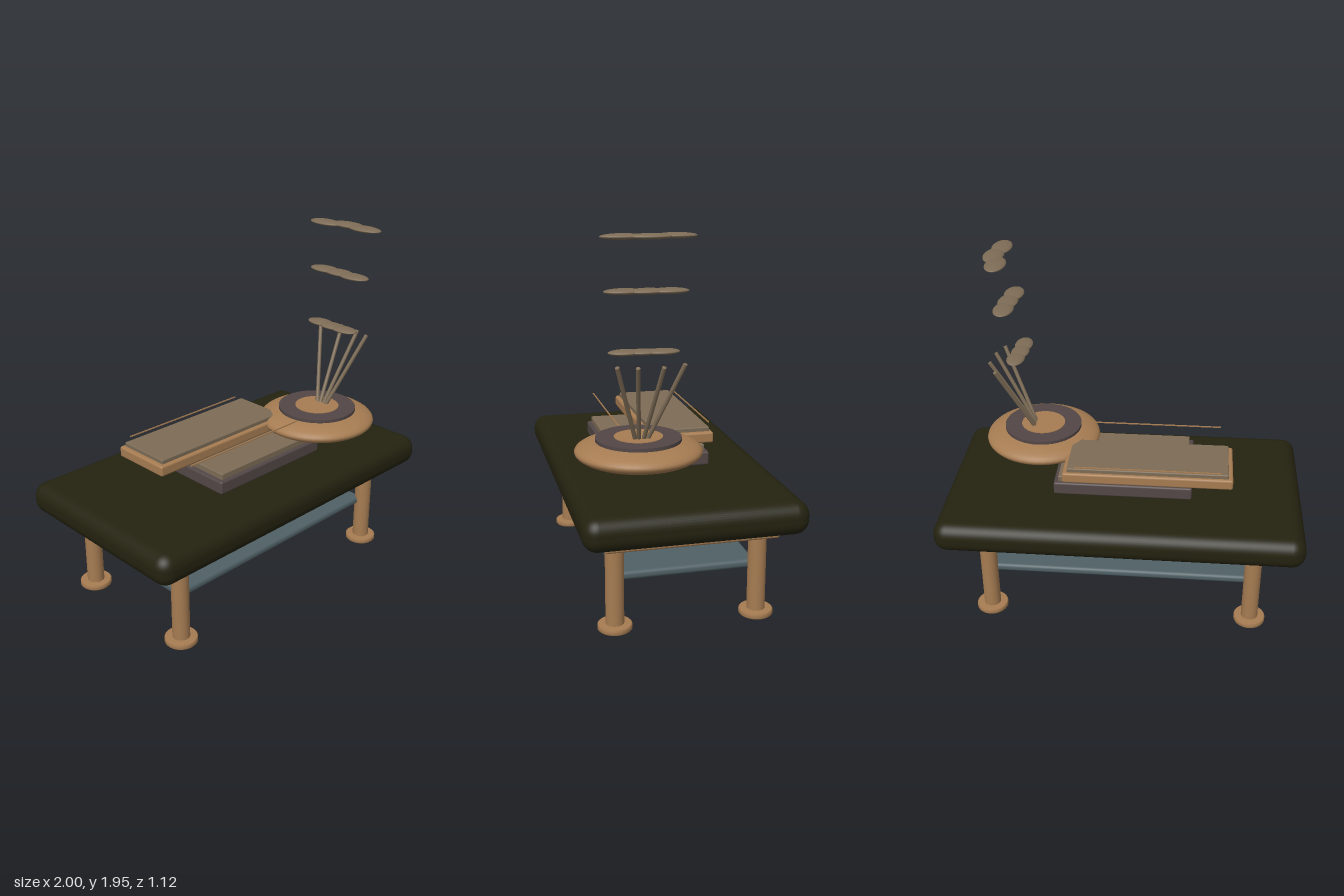
import * as THREE from 'three';
import { RoundedBoxGeometry } from 'three/addons/geometries/RoundedBoxGeometry.js';

const mat = (name, color) => {
  const m = new THREE.MeshStandardMaterial({ color });
  m.name = name;
  return m;
};

export function createModel() {
  const model = new THREE.Group();
  model.name = 'lowTable';
  const wood = mat('wood', 0xa67c52);
  const olive = mat('darkOlive', 0x24220f);
  const slate = mat('slate', 0x4f6065);
  const cover = mat('darkCover', 0x524746);
  const paper = mat('paper', 0x7d6c56);

  const add = (name, geometry, material, x, y, z, parent = model) => {
    const mesh = new THREE.Mesh(geometry, material);
    mesh.name = name;
    mesh.position.set(x, y, z);
    parent.add(mesh);
    return mesh;
  };
  // Rounded box given by its extents on each axis
  const slab = (name, material, [x0, x1], [y0, y1], [z0, z1], r, parent) =>
    add(name, new RoundedBoxGeometry(x1 - x0, y1 - y0, z1 - z0, 5, r), material,
      (x0 + x1) / 2, (y0 + y1) / 2, (z0 + z1) / 2, parent);
  const ellipsoid = (name, material, x, y, z, rx, ry, rz, parent) => {
    const mesh = add(name, new THREE.SphereGeometry(1, 48, 24), material, x, y, z, parent);
    mesh.scale.set(rx, ry, rz);
    return mesh;
  };

  // Table: padded top, thin frame board, lower shelf
  slab('tabletop', olive, [-1, 1], [0.508, 0.68], [-0.56, 0.56], 0.075);
  slab('frameBoard', wood, [-0.875, 0.875], [0.464, 0.495], [-0.44, 0.44], 0.014);
  slab('shelf', slate, [-0.735, 0.735], [0.256, 0.302], [-0.365, 0.365], 0.02);

  // Legs with round feet
  const footProfile = [[0, 0.008], [0.082, 0.008], [0.088, 0.014], [0.088, 0.034], [0.082, 0.04], [0, 0.04]]
    .map(([r, y]) => new THREE.Vector2(r, y));
  for (const sx of [-1, 1]) {
    for (const sz of [-1, 1]) {
      const leg = new THREE.Group();
      leg.name = 'leg';
      leg.position.set(sx * 0.74, 0, sz * 0.37);
      model.add(leg);
      add('legPost', new THREE.CylinderGeometry(0.047, 0.047, 0.5, 32), wood, 0, 0.25, 0, leg);
      add('foot', new THREE.LatheGeometry(footProfile, 40), wood, 0, 0, 0, leg);
    }
  }

  // Two stacked books
  slab('lowerBookCover', cover, [-0.385, 0.38], [0.705, 0.78], [-0.22, 0.305], 0.012);
  slab('lowerBookPages', paper, [-0.36, 0.355], [0.76, 0.813], [-0.2, 0.285], 0.006);
  slab('upperBookCover', wood, [-0.605, 0.325], [0.81, 0.87], [-0.26, 0.09], 0.012);
  slab('upperBookPages', paper, [-0.58, 0.3], [0.85, 0.893], [-0.242, 0.068], 0.006);
  for (const z of [-0.25, 0.24]) {
    add('thinRod', new THREE.BoxGeometry(0.795, 0.006, 0.006), wood, -0.14, 0.908, z);
  }

  // Flattened bowl with a dark ring and a raised centre
  const cx = 0.49, cz = 0.19;
  ellipsoid('bowl', wood, cx, 0.85, cz, 0.327, 0.075, 0.327);
  add('bowlRing', new THREE.CylinderGeometry(0.22, 0.22, 0.024, 48), cover, cx, 0.911, cz);
  add('bowlCentre', new THREE.CylinderGeometry(0.125, 0.125, 0.008, 48), wood, cx, 0.922, cz);

  // Leaning sticks: base z, then top x and z
  const sticks = [[0.215, 0.72, 0.343], [0.198, 0.755, 0.25], [0.175, 0.765, 0.126], [0.155, 0.712, 0.008]];
  for (const [z0, x1, z1] of sticks) {
    const a = new THREE.Vector3(0.535, 0.915, z0);
    const b = new THREE.Vector3(x1, 1.332, z1);
    const stick = add('stick', new THREE.CylinderGeometry(0.011, 0.011, a.distanceTo(b), 12), paper, 0, 0, 0);
    stick.position.lerpVectors(a, b, 0.5);
    stick.quaternion.setFromUnitVectors(new THREE.Vector3(0, 1, 0), b.clone().sub(a).normalize());
  }

  // Smoke wisps: height, lobe radii, lobe centres [x, z]
  const wisps = [
    [1.378, 0.05, 0.086, [[0.61, 0.095], [0.6, 0.185], [0.595, 0.277]]],
    [1.678, 0.055, 0.097, [[0.655, 0.074], [0.65, 0.18], [0.637, 0.293]]],
    [1.937, 0.055, 0.105, [[0.675, 0.05], [0.71, 0.18], [0.69, 0.31]]],
  ];
  for (const [y, rx, rz, lobes] of wisps) {
    const wisp = new THREE.Group();
    wisp.name = 'smokeWisp';
    model.add(wisp);
    for (const [x, z] of lobes) ellipsoid('smokeLobe', paper, x, y, z, rx, 0.015, rz, wisp);
  }
  return model;
}
